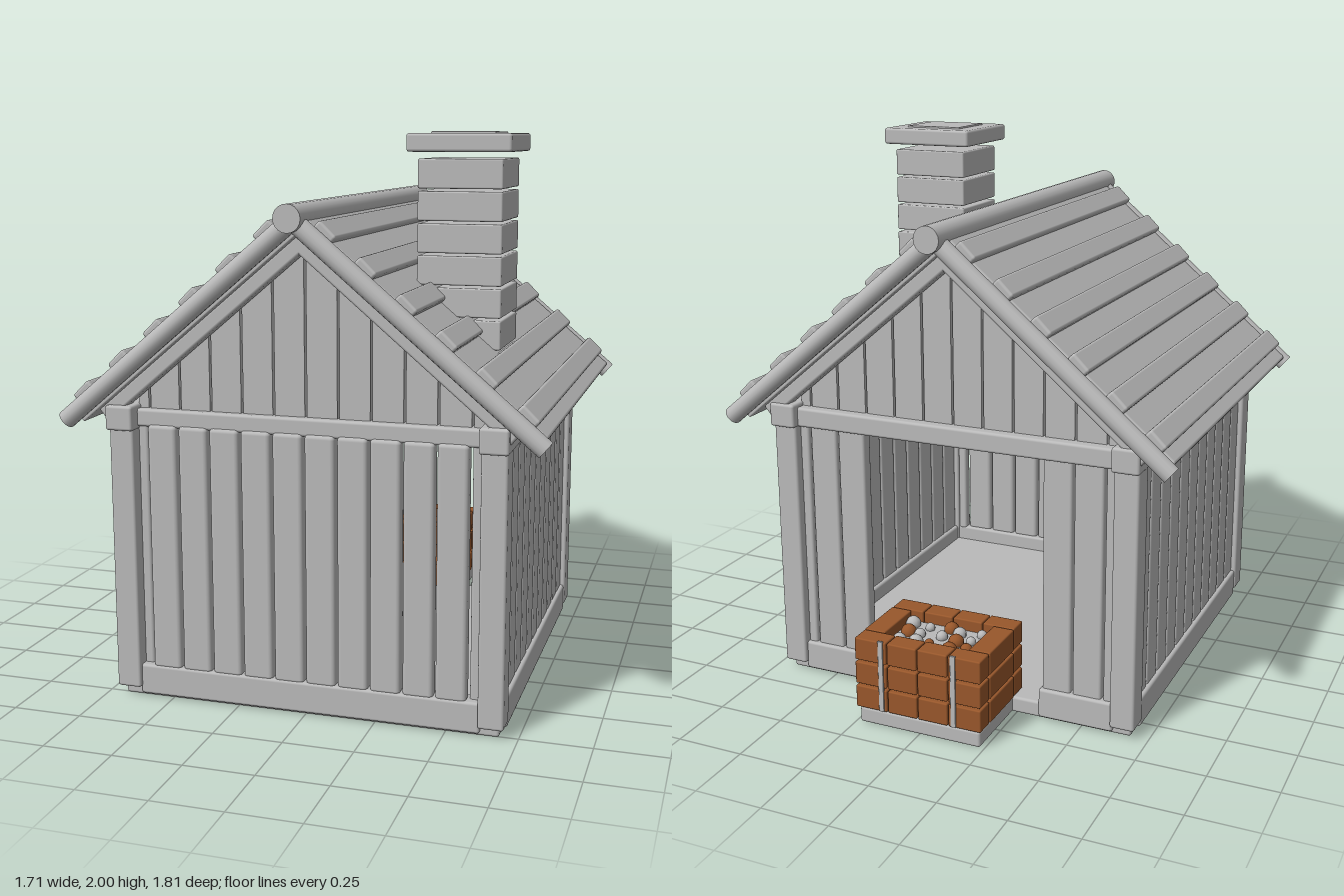
import * as THREE from 'three';
import { RoundedBoxGeometry } from 'three/addons/geometries/RoundedBoxGeometry.js';

export function createModel() {
  const model = new THREE.Group();
  model.name = 'cabin';
  const grey = new THREE.MeshStandardMaterial({ color: 0xbababa });
  grey.name = 'weatheredGrey';
  const brown = new THREE.MeshStandardMaterial({ color: 0x98572b });
  brown.name = 'brickBrown';

  const add = (parent, name, geo, mat, x, y, z) => {
    const m = new THREE.Mesh(geo, mat);
    m.name = name;
    m.position.set(x, y, z);
    parent.add(m);
    return m;
  };
  // Bevelled block given by its limits on each axis
  const block = (parent, name, x0, x1, y0, y1, z0, z1, mat = grey, r = 0.01) => {
    const w = x1 - x0, h = y1 - y0, d = z1 - z0;
    const radius = Math.min(r, w * 0.3, h * 0.3, d * 0.3);
    return add(parent, name, new RoundedBoxGeometry(w, h, d, 2, radius), mat,
      (x0 + x1) / 2, (y0 + y1) / 2, (z0 + z1) / 2);
  };
  const section = (name) => {
    const g = new THREE.Group();
    g.name = name;
    model.add(g);
    return g;
  };

  // Floor and hearth slab
  block(model, 'floor', -0.685, 0.685, 0, 0.06, -0.61, 0.76);
  block(model, 'hearthSlab', -0.235, 0.235, 0, 0.06, -0.89, -0.55);

  // Frame: corner posts, wall plates, sills and tie beams
  const frame = section('frame');
  for (const s of [-1, 1]) {
    const [x0, x1] = s > 0 ? [0.615, 0.705] : [-0.705, -0.615];
    block(frame, 'frontPost', x0, x1, 0.035, 1.0, 0.695, 0.79);
    block(frame, 'backPost', x0, x1, 0.035, 1.0, -0.64, -0.545);
    block(frame, 'wallPlate', x0 - 0.005, x1 + 0.005, 0.98, 1.068, -0.66, 0.81);
    block(frame, 'sideSill', x0 + 0.005, x1 - 0.005, 0.01, 0.12, -0.55, 0.7);
    block(frame, 'backSill', s > 0 ? 0.34 : -0.62, s > 0 ? 0.62 : -0.34, 0.01, 0.12, -0.625, -0.55);
  }
  block(frame, 'frontSill', -0.62, 0.62, 0.01, 0.12, 0.7, 0.775);
  block(frame, 'frontTieBeam', -0.62, 0.62, 0.99, 1.052, 0.68, 0.76);
  block(frame, 'backTieBeam', -0.62, 0.62, 0.98, 1.052, -0.63, -0.54);

  // Wall planks
  const walls = section('wallPlanks');
  const pitch = 0.115, gap = 0.004;
  const span = (i) => [Math.max(i * pitch, -0.62) + gap, Math.min((i + 1) * pitch, 0.62) - gap];
  for (let i = -6; i < 6; i++) {
    const [x0, x1] = span(i);
    const edge = i === -6 || i === 5;
    block(walls, 'frontPlank', x0, x1, 0.11, 1.0, edge ? 0.7 : 0.715, edge ? 0.745 : 0.77, grey, 0.015);
    if (i < -3 || i > 2) block(walls, 'backPlank', x0, x1, 0.11, 1.0, -0.61, -0.56);
  }
  for (const s of [-1, 1]) {
    for (let i = 0; i < 11; i++) {
      const z0 = -0.555 + i * 0.1145;
      block(walls, 'sidePlank', s * 0.66 - 0.025, s * 0.66 + 0.025, 0.11, 1.0, z0 + gap, z0 + 0.1145 - gap);
    }
  }

  // Gable planks with sloping tops
  const gables = section('gables');
  const roofLine = (x) => 1.63 - 0.84 * Math.abs(x);
  for (let i = -6; i < 6; i++) {
    const [x0, x1] = span(i);
    const shape = new THREE.Shape();
    shape.moveTo(x0, 1.04);
    shape.lineTo(x1, 1.04);
    shape.lineTo(x1, roofLine(x1));
    shape.lineTo(x0, roofLine(x0));
    const geo = new THREE.ExtrudeGeometry(shape, { depth: 0.04, bevelEnabled: false });
    add(gables, 'frontGablePlank', geo, grey, 0, 0, 0.69);
    add(gables, 'backGablePlank', geo, grey, 0, 0, -0.59);
  }

  // Roof: two equal slopes, each built along its own +x
  const roof = section('roof');
  roof.position.set(0, 1.72, 0.07);
  const pole = new THREE.CylinderGeometry(0.033, 0.033, 1.09, 14).rotateZ(Math.PI / 2);
  const cos = Math.cos(Math.atan(0.84));
  const battens = [0.08, 0.215, 0.35, 0.482, 0.615, 0.75].map((x) => x / cos);
  for (const turn of [0, Math.PI]) {
    const half = new THREE.Group();
    half.name = 'roofHalf';
    half.rotation.y = turn;
    roof.add(half);
    const slope = new THREE.Group();
    slope.name = 'roofSlope';
    slope.rotation.z = -Math.atan(0.84);
    half.add(slope);
    const edges = [0.02, ...battens, 1.075];
    for (let i = 0; i < edges.length - 1; i++) {
      block(slope, 'roofBoard', edges[i] + 0.002, edges[i + 1] - 0.002, -0.025, 0.028, -0.755, 0.755);
    }
    block(slope, 'roofLining', 0, 1.06, -0.04, -0.022, -0.75, 0.75);
    for (const x of battens) {
      block(slope, 'roofBatten', x - 0.04, x + 0.04, 0.02, 0.055, -0.77, 0.77).rotation.z = -0.08;
    }
    for (const s of [-1, 1]) {
      add(slope, 'rakePole', pole, grey, 0.545, 0, s * 0.78);
      block(slope, 'rafter', 0.02, 1.0, -0.09, -0.035, s * 0.69 - 0.03, s * 0.69 + 0.03);
    }
  }
  add(model, 'ridgePole', new THREE.CylinderGeometry(0.047, 0.047, 1.675, 20).rotateX(Math.PI / 2),
    grey, 0, 1.728, 0.0675);

  // Chimney of stacked blocks with a cap
  const chimney = section('chimney');
  for (let i = 0; i < 7; i++) {
    const y = 1.155 + i * 0.109;
    block(chimney, 'chimneyBlock', 0.31, 0.605, y, y + 0.1, 0.155, 0.45, grey, 0.006);
  }
  block(chimney, 'chimneyCap', 0.275, 0.638, 1.932, 1.994, 0.12, 0.477);
  block(chimney, 'chimneyLid', 0.345, 0.57, 1.985, 2.0, 0.19, 0.41, grey, 0.004);

  // Brick fire box
  const hearth = section('fireBox');
  const cuts = [-0.245, -0.118, 0, 0.118, 0.245];
  for (let c = 0; c < 3; c++) {
    const y0 = 0.064 + c * 0.0915, y1 = y0 + 0.083;
    for (let i = 0; i < 4; i++) {
      for (const z of [-0.9, -0.615]) {
        block(hearth, 'brick', cuts[i] + 0.002, cuts[i + 1] - 0.002, y0, y1, z, z + 0.075, brown, 0.005);
      }
    }
    for (const s of [-1, 1]) {
      block(hearth, 'sideBrick', s * 0.205 - 0.04, s * 0.205 + 0.04, y0, y1, -0.821, -0.619, brown, 0.005);
    }
  }
  for (const s of [-1, 1]) {
    block(hearth, 'bracket', s * 0.14 - 0.01, s * 0.14 + 0.01, 0.065, 0.335, -0.904, -0.895);
  }

  // Ash bed with stones and embers
  block(hearth, 'ashBed', -0.168, 0.168, 0.265, 0.29, -0.828, -0.612);
  for (let i = 0; i < 15; i++) {
    const x = -0.13 + (i % 5) * 0.065, z = -0.785 + Math.floor(i / 5) * 0.065;
    const r = 0.024 + 0.006 * Math.sin(i * 2.3);
    const isEmber = [0, 1, 2, 6, 9, 12].includes(i);
    add(hearth, isEmber ? 'ember' : 'stone', new THREE.SphereGeometry(r, 10, 7),
      isEmber ? brown : grey, x + 0.012 * Math.sin(i * 4.1), 0.298, z + 0.012 * Math.cos(i * 3.7));
  }
  return model;
}
